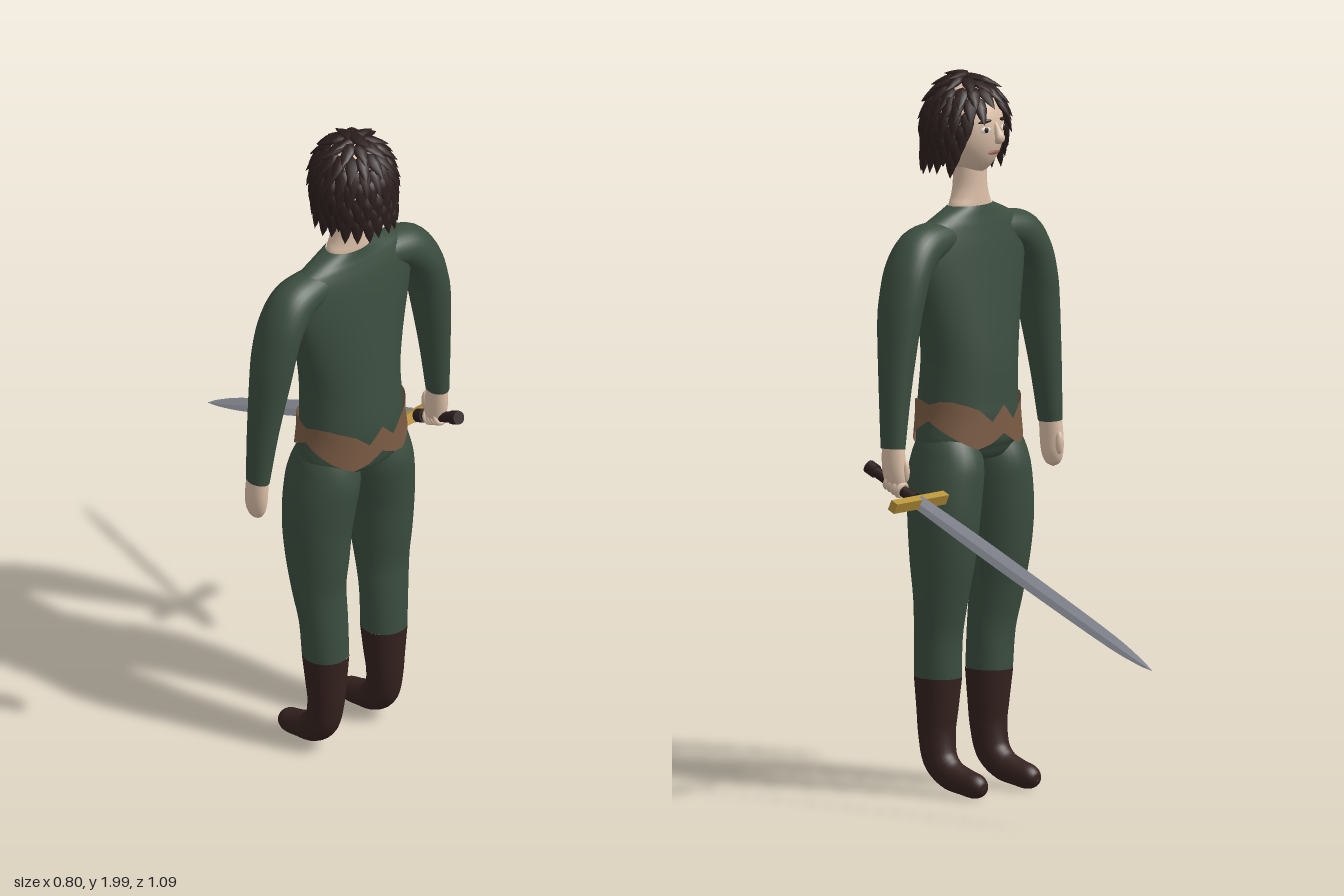
import * as THREE from 'three';
import { mergeGeometries } from 'three/addons/utils/BufferGeometryUtils.js';

const mat = (name, color, side = THREE.FrontSide) => {
  const m = new THREE.MeshStandardMaterial({ color, side });
  m.name = name;
  return m;
};
const X = new THREE.Vector3(1, 0, 0), Z = new THREE.Vector3(0, 0, 1);

// Smooth tube of elliptical rings. Each row: x, y, z, radius along ref, radius across ref.
function loft(rows, ref, seg = 28, steps = 5) {
  const path = new THREE.CatmullRomCurve3(rows.map(r => new THREE.Vector3(r[0], r[1], r[2])));
  const size = new THREE.CatmullRomCurve3(rows.map(r => new THREE.Vector3(r[3], r[4], 0)));
  path.curveType = size.curveType = 'catmullrom';
  const n = (rows.length - 1) * steps, pos = [], idx = [];
  for (let i = 0; i <= n; i++) {
    const p = path.getPoint(i / n), s = size.getPoint(i / n), t = path.getTangent(i / n);
    const a = ref.clone().addScaledVector(t, -ref.dot(t)).normalize();
    const b = t.clone().cross(a);
    for (let j = 0; j < seg; j++) {
      const w = j / seg * Math.PI * 2;
      const v = p.clone().addScaledVector(a, Math.cos(w) * Math.max(s.x, 0.0005))
        .addScaledVector(b, Math.sin(w) * Math.max(s.y, 0.0005));
      pos.push(v.x, v.y, v.z);
      if (i < n) {
        const k = i * seg + j, l = i * seg + (j + 1) % seg;
        idx.push(k, l, k + seg, l, l + seg, k + seg);
      }
    }
  }
  const g = new THREE.BufferGeometry();
  g.setAttribute('position', new THREE.Float32BufferAttribute(pos, 3));
  g.setIndex(idx);
  g.computeVertexNormals();
  return g;
}

// Belt band with jagged edges, hugging the hips
function beltGeometry() {
  const top = [1.095, 1.105, 1.105, 1.095, 1.08, 1.045, 1.09];
  const low = [1.05, 1.03, 1.01, 0.99, 0.972, 0.985, 1.01];
  const n = 72, rows = 4, pos = [], idx = [];
  const at = (list, q) => {
    const i = Math.min(5, Math.floor(q));
    return THREE.MathUtils.lerp(list[i], list[i + 1], q - i);
  };
  for (let j = 0; j <= n; j++) {
    const w = j / n * Math.PI * 2;
    const q = Math.asin(Math.min(1, Math.abs(Math.sin(w)))) / (Math.PI / 2) * 6;
    for (let i = 0; i <= rows; i++) {
      const y = THREE.MathUtils.lerp(at(low, q), at(top, q), i / rows);
      const hw = 0.165 + Math.max(0, 1.06 - y) * 0.17;
      pos.push(Math.cos(w) * hw, y, 0.402 - Math.sin(w) * 0.129);
      if (j < n && i < rows) {
        const k = j * (rows + 1) + i, l = k + rows + 1;
        idx.push(k, l, k + 1, l, l + 1, k + 1);
      }
    }
  }
  const g = new THREE.BufferGeometry();
  g.setAttribute('position', new THREE.Float32BufferAttribute(pos, 3));
  g.setIndex(idx);
  g.computeVertexNormals();
  return g;
}

// Layered pointed locks over the skull, leaving the face (-z) open
function hairGeometry() {
  let seed = 7;
  const rnd = () => (seed = (seed * 16807) % 2147483647) / 2147483647 - 0.5;
  const profile = [[0, -0.05], [0.011, -0.028], [0.019, 0], [0.018, 0.022], [0, 0.036]];
  const lock = new THREE.LatheGeometry(profile.map(p => new THREE.Vector2(...p)), 7).scale(1, 1, 0.55);
  // polar angle, count, half-angle of face opening, drop
  const rows = [[0.2, 4, 0, 0], [0.5, 9, 0, 0], [0.82, 15, 0, 0], [1.1, 20, 0.3, 0], [1.35, 22, 0.75, 0],
    [1.57, 22, 0.95, 0.015], [1.57, 22, 1.05, 0.045], [1.57, 22, 1.2, 0.075]];
  const parts = [];
  rows.forEach(([th, count, open, drop], r) => {
    for (let k = 0; k < count; k++) {
      const ph = ((k + (r % 2) / 2) / count * 2 - 1) * Math.PI + rnd() * 0.08;
      if (Math.abs(Math.atan2(Math.sin(ph), Math.cos(ph))) < open) continue;
      const s = Math.sin(th), c = Math.cos(th);
      const out = new THREE.Vector3(s * Math.sin(ph), c, -s * Math.cos(ph));
      const p = new THREE.Vector3(out.x * 0.111, 1.845 + out.y * 0.143 - drop + rnd() * 0.012, 0.412 + out.z * 0.12);
      const up = new THREE.Vector3(-c * Math.sin(ph), s, c * Math.cos(ph)).addScaledVector(out, -0.12).normalize();
      const side = up.clone().cross(out).normalize();
      const m = new THREE.Matrix4().makeBasis(side, up, side.clone().cross(up)).setPosition(p);
      parts.push(lock.clone().applyMatrix4(m));
    }
  });
  return mergeGeometries(parts);
}

export function createModel() {
  const green = mat('green cloth', 0x3b4d3f), skin = mat('skin', 0xdcc0a8);
  const dark = mat('dark hair', 0x2b1e1d), leather = mat('boot leather', 0x35221f);
  const tan = mat('belt leather', 0x7c5c45, THREE.DoubleSide), gold = mat('gold', 0xb8923a);
  const steel = mat('steel', 0xb2b6c2), white = mat('eye white', 0xeeeae6), lip = mat('lips', 0x9a5f55);

  const model = new THREE.Group();
  model.name = 'swordsman';
  const body = new THREE.Group();
  body.name = 'body';
  body.position.x = -0.043;
  model.add(body);
  const add = (name, geo, material, parent = body) => {
    const m = new THREE.Mesh(geo, material);
    m.name = name;
    parent.add(m);
    return m;
  };

  // Torso, belt and neck
  add('torso', loft([
    [0, 0.925, 0.4, 0.002, 0.002], [0, 0.935, 0.4, 0.09, 0.07], [0, 0.953, 0.4, 0.145, 0.1], [0, 0.985, 0.402, 0.17, 0.117],
    [0, 1.05, 0.402, 0.16, 0.124], [0, 1.1, 0.402, 0.156, 0.123], [0, 1.21, 0.397, 0.157, 0.115],
    [0, 1.34, 0.397, 0.182, 0.1], [0, 1.465, 0.398, 0.212, 0.083], [0, 1.54, 0.398, 0.215, 0.071],
    [0, 1.585, 0.396, 0.19, 0.06], [0, 1.61, 0.395, 0.14, 0.053], [0, 1.635, 0.395, 0.076, 0.048]], X, 40), green);
  add('belt', beltGeometry(), tan);
  add('neck', loft([[0, 1.6, 0.395, 0.08, 0.045], [0, 1.635, 0.395, 0.073, 0.046], [0, 1.66, 0.395, 0.06, 0.046],
    [0, 1.7, 0.395, 0.05, 0.045], [0, 1.78, 0.395, 0.05, 0.045]], X), skin);

  // Mirrored limbs
  for (const s of [-1, 1]) {
    const side = s > 0 ? 'left' : 'right';
    const limb = (name, rows, ref, material) =>
      add(side + name, loft(rows.map(([x, ...r]) => [s * x, ...r]), ref), material);
    limb('Sleeve', [[0.08, 1.555, 0.396, 0.05, 0.045], [0.16, 1.548, 0.397, 0.06, 0.053], [0.215, 1.527, 0.398, 0.066, 0.06],
      [0.256, 1.475, 0.4, 0.071, 0.056], [0.28, 1.405, 0.4, 0.07, 0.054], [0.295, 1.33, 0.4, 0.064, 0.053],
      [0.318, 1.157, 0.394, 0.048, 0.041], [0.333, 0.995, 0.389, 0.037, 0.029]], Z, green);
    limb('Hand', [[0.332, 1.02, 0.389, 0.034, 0.026], [0.334, 0.95, 0.385, 0.037, 0.026], [0.332, 0.905, 0.38, 0.034, 0.023],
      [0.331, 0.878, 0.377, 0.022, 0.014], [0.33, 0.868, 0.376, 0.001, 0.001]], Z, skin);
    const thumb = add(side + 'Thumb', new THREE.SphereGeometry(1, 12, 8).scale(0.011, 0.032, 0.012), skin);
    thumb.position.set(s * 0.325, 0.935, 0.35);
    limb('Leg', [[0.07, 1.05, 0.4, 0.045, 0.055], [0.085, 0.985, 0.4, 0.082, 0.09], [0.095, 0.92, 0.398, 0.092, 0.111],
      [0.106, 0.85, 0.395, 0.096, 0.11], [0.115, 0.76, 0.392, 0.093, 0.103], [0.117, 0.65, 0.395, 0.085, 0.092],
      [0.117, 0.55, 0.401, 0.076, 0.075], [0.112, 0.45, 0.413, 0.069, 0.066], [0.108, 0.332, 0.418, 0.064, 0.066]], X, green);
    limb('Boot', [[0.108, 0.335, 0.418, 0.065, 0.067], [0.108, 0.25, 0.42, 0.057, 0.059], [0.109, 0.18, 0.421, 0.05, 0.053],
      [0.111, 0.11, 0.408, 0.045, 0.05], [0.112, 0.07, 0.37, 0.04, 0.044], [0.112, 0.053, 0.32, 0.036, 0.038],
      [0.112, 0.043, 0.275, 0.033, 0.034], [0.112, 0.038, 0.252, 0.02, 0.02], [0.112, 0.037, 0.246, 0.001, 0.001]], X, leather);
  }

  // Head, tapering to the chin
  const taper = y => (y < 0 ? 1 - 0.25 * y * y : 1);
  const headGeo = new THREE.SphereGeometry(1, 32, 24), hp = headGeo.attributes.position;
  for (let i = 0; i < hp.count; i++) {
    const y = hp.getY(i);
    hp.setXYZ(i, hp.getX(i) * 0.098 * taper(y), 1.845 + y * 0.13, 0.408 + hp.getZ(i) * 0.108 - (y < 0 ? 0.012 * y * y : 0));
  }
  headGeo.computeVertexNormals();
  add('head', headGeo, skin);
  add('hair', hairGeometry(), dark);
  add('nose', loft([[0, 1.868, 0.304, 0.006, 0.005], [0, 1.845, 0.296, 0.009, 0.01], [0, 1.826, 0.287, 0.015, 0.013],
    [0, 1.815, 0.295, 0.012, 0.008], [0, 1.812, 0.302, 0.001, 0.001]], X, 14), skin);

  // Thin face details laid on the head surface
  const feature = (name, x, y, w, h, material, lift = 0, roll = 0) => {
    const v = (y - 1.845) / 0.13, u = x / (0.098 * taper(v));
    const z = 0.408 - 0.108 * Math.sqrt(1 - u * u - v * v) - (v < 0 ? 0.012 * v * v : 0);
    const m = add(name, new THREE.SphereGeometry(1, 14, 8).scale(w, h, 0.004), material);
    m.position.set(x, y, z - lift);
    m.rotation.set(0, -Math.asin(u), roll);
  };
  for (const s of [-1, 1]) {
    feature('eye', s * 0.036, 1.85, 0.016, 0.009, white);
    feature('iris', s * 0.036, 1.85, 0.007, 0.008, dark, 0.002);
    feature('eyebrow', s * 0.037, 1.873, 0.021, 0.005, dark, 0.001, -s * 0.12);
  }
  feature('mouth', 0, 1.784, 0.024, 0.006, lip, 0.001);

  // Sword held in the left hand, blade along local -z
  const sword = new THREE.Group();
  sword.name = 'sword';
  sword.position.set(0.333, 0.856, 0.297);
  sword.rotation.x = -0.427;
  body.add(sword);
  const blade = loft([[0, 0, 0, 0.007, 0.022], [0, 0, -0.3, 0.007, 0.026], [0, 0, -0.72, 0.006, 0.022],
    [0, 0, -0.86, 0.004, 0.012], [0, 0, -0.92, 0.0005, 0.0005]], X, 4).toNonIndexed();
  blade.computeVertexNormals();
  add('blade', blade, steel, sword);
  add('guard', new THREE.BoxGeometry(0.22, 0.03, 0.024), gold, sword);
  add('grip', new THREE.CylinderGeometry(0.015, 0.015, 0.17, 14).rotateX(Math.PI / 2).translate(0, 0, 0.095), dark, sword);
  for (const z of [0.03, 0.182])
    add('gripCollar', new THREE.CylinderGeometry(0.019, 0.019, 0.03, 14).rotateX(Math.PI / 2).translate(0, 0, z), dark, sword);
  for (let i = 0; i < 4; i++)
    add('finger', new THREE.TorusGeometry(0.017, 0.008, 8, 16).translate(0, 0, 0.068 + i * 0.015), skin, sword);
  return model;
}
